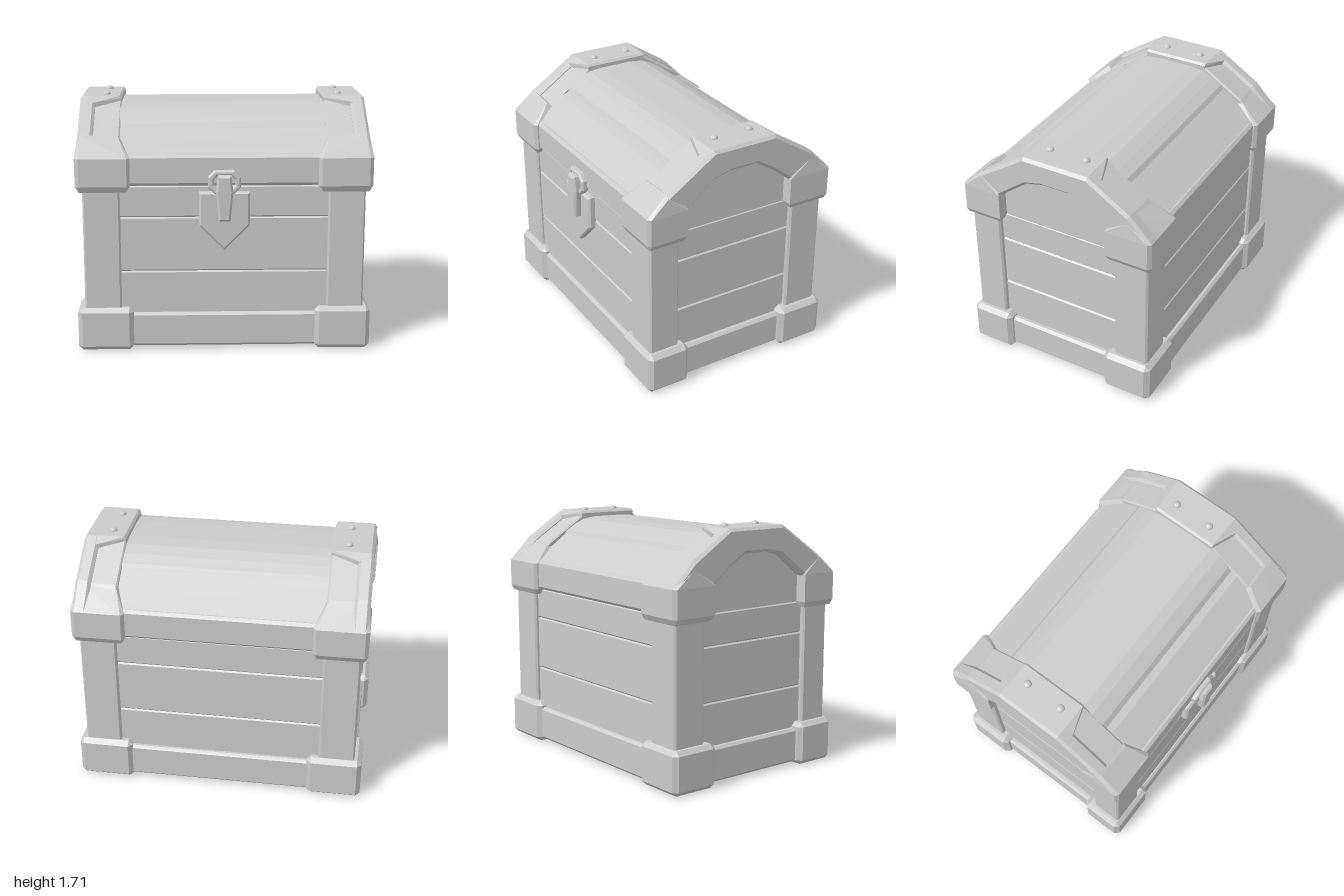
import * as THREE from 'three';
import { ConvexGeometry } from 'three/addons/geometries/ConvexGeometry.js';

const SIDES = [1, -1];

export function createModel() {
  const chest = new THREE.Group();
  chest.name = 'chest';
  const mat = new THREE.MeshStandardMaterial({ color: 0xcccccc });

  const add = (name, geo) => {
    const mesh = new THREE.Mesh(geo, mat);
    mesh.name = name;
    chest.add(mesh);
    return mesh;
  };

  const hull = (pts) => new ConvexGeometry(pts.map((p) => new THREE.Vector3(...p)));

  // Corner points of a box with chamfered edges
  const boxPoints = (x0, x1, y0, y1, z0, z1, c) => {
    const pts = [];
    for (const [x, dx] of [[x0, c], [x1, -c]])
      for (const [y, dy] of [[y0, c], [y1, -c]])
        for (const [z, dz] of [[z0, c], [z1, -c]])
          pts.push([x, y + dy, z + dz], [x + dx, y, z + dz], [x + dx, y + dy, z]);
    return pts;
  };

  // The back corners reach slightly further out than the front ones
  const place = (pts, sx, sz) => pts.map(([x, y, z]) =>
    [sx * x, y, sz > 0 ? z : -(z + (z - 0.4) * 0.14)]);

  const extrude = (pts, depth, bevel, hole) => {
    const shape = new THREE.Shape(pts.map((p) => new THREE.Vector2(...p)));
    if (hole) shape.holes.push(new THREE.Path(hole.map((p) => new THREE.Vector2(...p))));
    return new THREE.ExtrudeGeometry(shape, {
      depth: depth - 2 * bevel, bevelEnabled: bevel > 0, bevelSegments: 1,
      bevelSize: bevel, bevelThickness: bevel, bevelOffset: -bevel,
    }).translate(0, 0, bevel);
  };

  // Extrude a (z, y) side profile from x0 to x1
  const extrudeX = (profile, x0, x1, bevel) =>
    extrude(profile.map(([z, y]) => [-z, y]), x1 - x0, bevel)
      .rotateY(Math.PI / 2).translate(x0, 0, 0);

  // Body: base rail and three plank courses
  add('baseRail', hull(boxPoints(-0.955, 0.955, 0.02, 0.26, -0.7, 0.66, 0.018)));
  for (const [y0, y1] of [[0.24, 0.553], [0.553, 0.93], [0.93, 1.147]])
    add('plankCourse', hull(boxPoints(-0.915, 0.915, y0, y1, -0.665, 0.635, 0.01)));

  // Lid: planked core with a raised centre, plus the rail along its edge
  const lidProfile = [
    [0.64, 1.147], [0.64, 1.35], [0.6, 1.38], [0.43, 1.5], [0.38, 1.515], [0.355, 1.555],
    [0.33, 1.573], [0.27, 1.613], [0.2, 1.64], [0.1, 1.648], [-0.15, 1.648], [-0.25, 1.635],
    [-0.33, 1.6], [-0.4, 1.56], [-0.42, 1.53], [-0.67, 1.36], [-0.67, 1.147],
  ];
  add('lidPlanks', extrudeX(lidProfile, -0.915, 0.915, 0));
  add('lidRail', hull(boxPoints(-0.73, 0.73, 1.15, 1.36, -0.7, 0.66, 0.02)));

  // Arched bands: a sunken inner strip and a raised outer rim
  const arch = [
    [-0.4, 1.15], [-0.4, 1.33], [-0.26, 1.44], [-0.13, 1.52],
    [0.07, 1.52], [0.19, 1.49], [0.4, 1.33], [0.4, 1.15],
  ];
  const rim = [
    [0.69, 1.15], [0.69, 1.34], [0.53, 1.475], [0.205, 1.69],
    [-0.27, 1.69], [-0.57, 1.5], [-0.73, 1.34], [-0.73, 1.15], ...arch,
  ];
  const strip = [
    [0.67, 1.15], [0.67, 1.33], [0.52, 1.45], [0.195, 1.665],
    [-0.26, 1.665], [-0.56, 1.475], [-0.71, 1.33], [-0.71, 1.15], ...arch,
  ];

  // Cap on each lid corner, narrowing as it climbs the slope
  const capPoints = [];
  for (const y of [1.15, 1.34])
    capPoints.push([0.63, y, 0.67], [0.65, y, 0.69], [0.97, y, 0.69],
      [0.995, y, 0.67], [0.995, y, 0.4], [0.63, y, 0.4]);
  for (const x of [0.66, 0.97]) capPoints.push([x, 1.11, 0.67], [x, 1.11, 0.42]);
  capPoints.push([0.71, 1.465, 0.545], [0.96, 1.475, 0.54], [0.985, 1.45, 0.54], [0.985, 1.36, 0.41]);

  for (const sx of SIDES) {
    const span = (a, b) => (sx > 0 ? [a, b] : [-b, -a]);
    add('bandStrip', extrudeX(strip, ...span(0.7, 0.92), 0.01));
    add('bandRim', extrudeX(rim, ...span(0.88, 0.985), 0.02));

    // Raised plate across the crown of the band
    const plate = [];
    for (const d of [0, 0.05])
      for (const [z, end] of [[0.205, 0.265], [-0.265, -0.33]])
        plate.push([sx * 0.7, 1.675 - d, z], [sx * 0.715, 1.69 - d, z],
          [sx * 0.955, 1.69 - d, z], [sx * 0.895, 1.651 - d, end]);
    add('bandPlate', hull(plate));

    for (const z of [0.1, -0.17]) {
      const rivet = add('rivet', new THREE.SphereGeometry(0.028, 12, 8));
      rivet.scale.y = 0.8;
      rivet.position.set(sx * 0.81, 1.69, z);
    }

    for (const sz of SIDES) {
      add('lidCorner', hull(place(capPoints, sx, sz)));
      add('cornerPost', hull(place(boxPoints(0.7, 0.95, 0.2, 1.16, 0.44, 0.657, 0.012), sx, sz)));
      add('baseCorner', hull(place(boxPoints(0.62, 1, 0, 0.3, 0.38, 0.69, 0.03), sx, sz)));
    }
  }

  // Latch: pointed lock plate, octagonal loop and hanging hasp
  const lockShape = [[-0.17, 1.11], [-0.17, 0.88], [0, 0.71], [0.17, 0.88], [0.17, 1.11]];
  add('lockPlate', extrude(lockShape, 0.06, 0.012).translate(0, 0, 0.62));

  const octagon = (w, h, c) => [
    [-w, -h + c], [-w + c, -h], [w - c, -h], [w, -h + c],
    [w, h - c], [w - c, h], [-w + c, h], [-w, h - c],
  ];
  add('latchLoop', extrude(octagon(0.11, 0.08, 0.045), 0.05, 0.01, octagon(0.07, 0.045, 0.025))
    .translate(0, 1.18, 0.645));

  const hasp = [[-0.04, 0.92], [0.04, 0.92], [0.058, 1.12], [0.045, 1.23], [-0.045, 1.23], [-0.058, 1.12]];
  add('hasp', extrude(hasp, 0.065, 0.014).translate(0, 0, 0.665));

  return chest;
}
